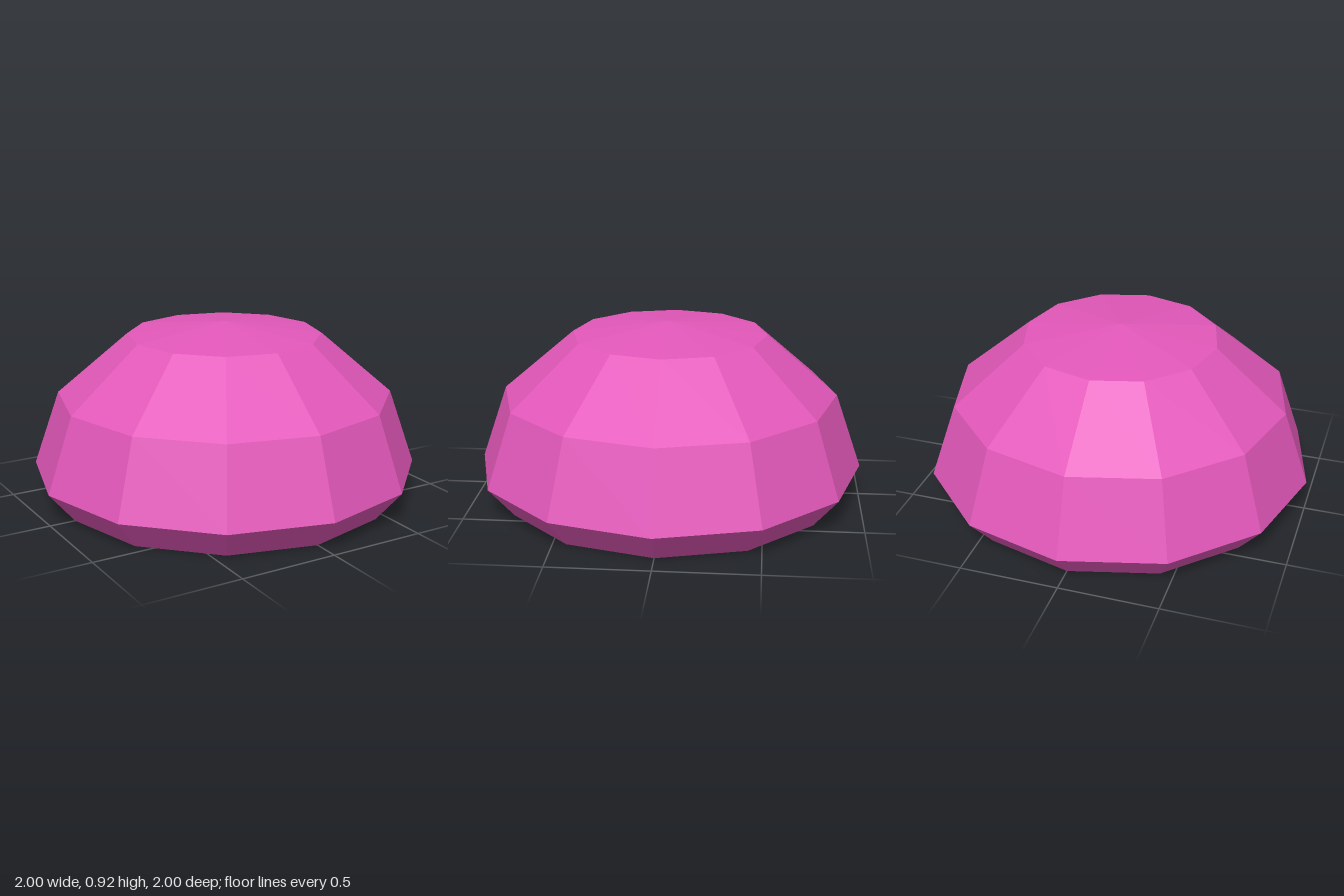
import * as THREE from 'three';

const mat = (name, color) => {
  const m = new THREE.MeshStandardMaterial({ color, flatShading: true });
  m.name = name;
  return m;
};

export function createModel() {
  const pink = mat('pink', 0xe358ba);
  const brown = mat('dark brown', 0x4f3a38);
  const olive = mat('olive grey', 0x908670);
  const SIDES = 12;
  const underY = 0.1;

  const model = new THREE.Group();
  model.name = 'mushroomCap';

  const add = (name, geometry, material, parent = model) => {
    const mesh = new THREE.Mesh(geometry, material);
    mesh.name = name;
    parent.add(mesh);
    return mesh;
  };

  // Faceted cap: inner lip, bottom edge, widest rim, shoulder, crown, tip
  const profile = [
    [0.65, underY], [0.866, 0], [1, 0.16], [0.866, 0.545], [0.5, 0.857], [0, 0.92],
  ].map(([r, y]) => new THREE.Vector2(r, y));
  add('cap', new THREE.LatheGeometry(profile, SIDES), pink);

  // Dark plate closing the underside, facing down
  const plate = add('underside', new THREE.CircleGeometry(0.65, SIDES).rotateX(Math.PI / 2), brown);
  plate.position.y = underY;

  // One wedge-shaped gill with rounded outer corners
  const tip = 0.12, outer = 0.602, half = 0.129, round = 0.05;
  const k = round / (outer - tip);
  const wedge = new THREE.Shape();
  wedge.moveTo(tip, 0);
  wedge.lineTo(outer - round, -half * (1 - k));
  wedge.quadraticCurveTo(outer, -half, outer, -half + round);
  wedge.lineTo(outer, half - round);
  wedge.quadraticCurveTo(outer, half, outer - round, half * (1 - k));
  wedge.closePath();
  const gillGeometry = new THREE.ShapeGeometry(wedge, 4).rotateX(Math.PI / 2);

  // Ring of gills, one per side of the cap
  const gills = new THREE.Group();
  gills.name = 'gills';
  gills.position.y = underY - 0.005;
  for (let i = 0; i < SIDES; i++) {
    const gill = add('gill', gillGeometry, olive, gills);
    gill.rotation.y = ((i + 0.5) / SIDES) * Math.PI * 2;
  }
  model.add(gills);

  return model;
}
